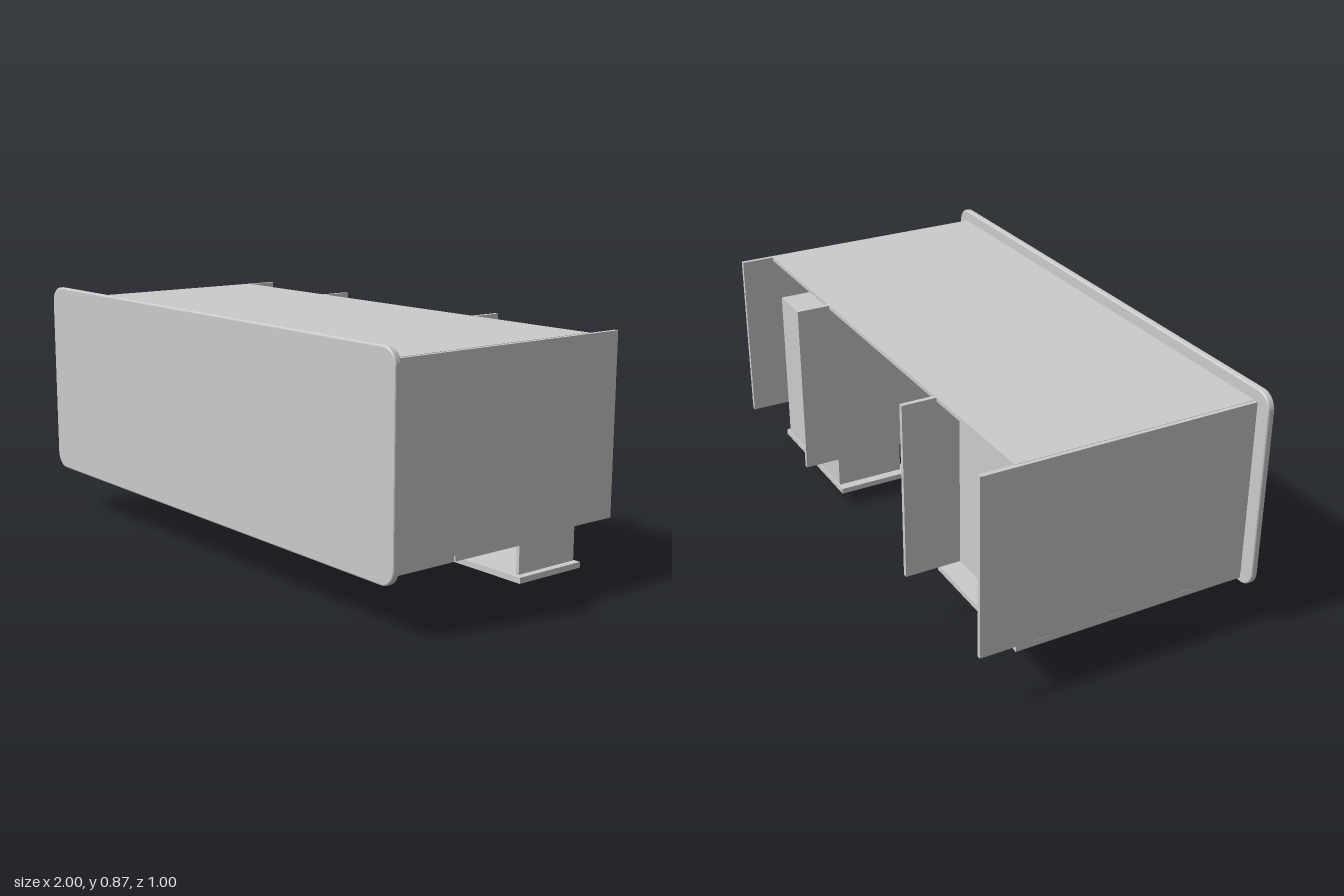
import * as THREE from 'three';

const material = new THREE.MeshStandardMaterial({ color: 0xcccccc });

function add(parent, name, geometry, x = 0, y = 0, z = 0) {
  const mesh = new THREE.Mesh(geometry, material);
  mesh.name = name;
  mesh.position.set(x, y, z);
  parent.add(mesh);
  return mesh;
}

// Box given by its limits along each axis
function panel(parent, name, [x0, x1], [y0, y1], [z0, z1]) {
  return add(parent, name, new THREE.BoxGeometry(x1 - x0, y1 - y0, z1 - z0),
    (x0 + x1) / 2, (y0 + y1) / 2, (z0 + z1) / 2);
}

// Rounded slab with softened edges
function topGeometry(w, h, depth, r) {
  const b = 0.006, x = w / 2 - b, y = h / 2 - b;
  const s = new THREE.Shape();
  s.moveTo(-x + r, -y);
  s.lineTo(x - r, -y);
  s.absarc(x - r, -y + r, r, -Math.PI / 2, 0);
  s.absarc(x - r, y - r, r, 0, Math.PI / 2);
  s.absarc(-x + r, y - r, r, Math.PI / 2, Math.PI);
  s.absarc(-x + r, -y + r, r, Math.PI, Math.PI * 1.5);
  const g = new THREE.ExtrudeGeometry(s, {
    depth: depth - 2 * b, bevelThickness: b, bevelSize: b, bevelSegments: 3, curveSegments: 8,
  });
  return g.translate(0, 0, b);
}

// Bowed pull hanging below a front, running along x
function handleGeometry() {
  const points = [[-0.09, 0.004], [-0.075, -0.022], [-0.045, -0.042], [0, -0.047],
    [0.045, -0.042], [0.075, -0.022], [0.09, 0.004]];
  const curve = new THREE.CatmullRomCurve3(points.map(([x, y]) => new THREE.Vector3(x, y, 0)));
  return new THREE.TubeGeometry(curve, 28, 0.008, 10, false);
}

// Drawer: front plate, open box, pull and optional lock
function drawer(name, z0, z1, extension, hasLock) {
  const g = new THREE.Group();
  g.name = name;
  const x0 = 0.42, x1 = 0.915, y0 = 0.21, y1 = 0.8, t = 0.012;
  const b0 = z0 + 0.005, b1 = z1 - 0.02;
  panel(g, 'drawerFront', [0.385, 0.94], [0.19, 0.21], [z0, z1]);
  panel(g, 'drawerBottom', [x0, x1], [y0, y1], [b0, b0 + t]);
  panel(g, 'drawerSide', [x0, x0 + t], [y0, y1], [b0 + t, b1]);
  panel(g, 'drawerSide', [x1 - t, x1], [y0, y1], [b0 + t, b1]);
  panel(g, 'drawerBack', [x0 + t, x1 - t], [y1 - t, y1], [b0 + t, b1]);
  add(g, 'drawerHandle', handleGeometry(), 0.665, 0.19, (z0 + z1) / 2);
  if (hasLock) add(g, 'lock', new THREE.CylinderGeometry(0.024, 0.018, 0.01, 20), 0.665, 0.185, z1 - 0.06);
  g.position.y = -extension;
  return g;
}

export function createModel() {
  const desk = new THREE.Group();
  desk.name = 'desk';

  // Work surface, facing forward
  add(desk, 'deskTop', topGeometry(2, 0.705, 0.025, 0.05), 0, 0.5275, 0.475);

  // Long back panel
  panel(desk, 'backPanel', [-0.932, 0.932], [0.824, 0.838], [-0.38, 0.476]);

  // Outer sides and inner dividers
  for (const [name, x] of [['sidePanel', -0.938], ['sidePanel', 0.938],
    ['innerPanel', -0.437], ['innerPanel', 0.396]]) {
    const top = name === 'sidePanel' ? 0.837 : 0.824;
    panel(desk, name, [x - 0.008, x + 0.008], [0.212, top], [-0.5, 0.476]);
    if (name === 'innerPanel') {
      // Foot of the divider behind the back panel
      panel(desk, 'innerPanelFoot', [x - 0.008, x + 0.008], [0.824, 0.837], [-0.5, -0.38]);
    }
  }

  // Cupboard floor and door
  panel(desk, 'cupboardFloor', [-0.93, -0.445], [0.212, 0.824], [-0.3, -0.286]);
  panel(desk, 'cupboardDoor', [-0.945, -0.43], [0.192, 0.211], [-0.375, 0.475]);
  const doorHandle = add(desk, 'doorHandle', handleGeometry(), -0.485, 0.192, 0.145);
  doorHandle.rotation.y = Math.PI / 2;

  // Drawers, the last one pulled out
  desk.add(drawer('upperDrawer', 0.203, 0.475, 0, true));
  desk.add(drawer('middleDrawer', -0.08, 0.198, 0, true));
  desk.add(drawer('lowerDrawer', -0.365, -0.085, 0.127, false));

  return desk;
}
